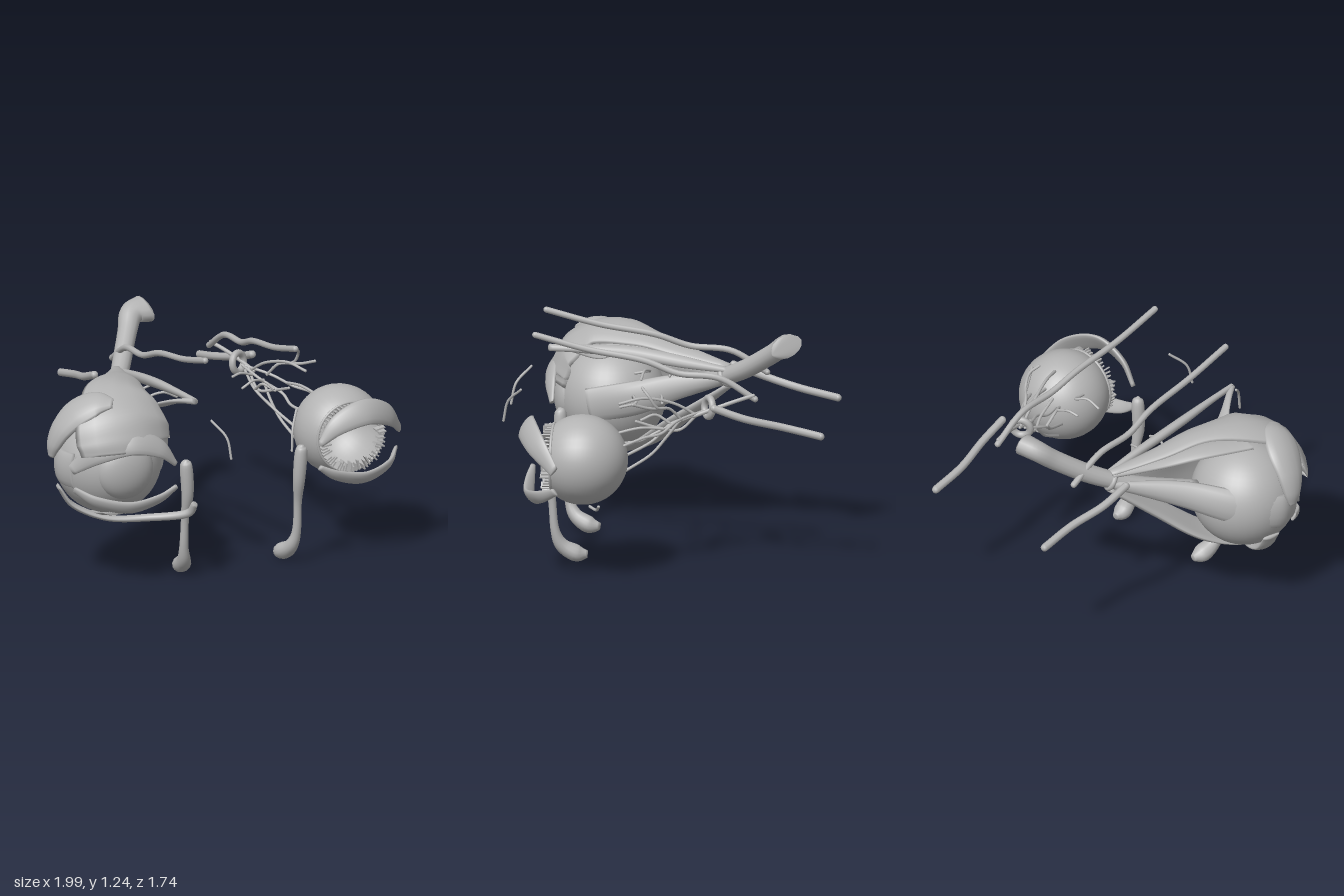
import * as THREE from 'three';

const V = (x, y, z) => new THREE.Vector3(x, y, z);
const tissue = new THREE.MeshStandardMaterial({ color: 0xb3b3b3 });
tissue.name = 'grey tissue';
tissue.side = THREE.DoubleSide;

const APEX = V(-0.29, 0.89, -0.3);        // where the muscles meet
const EYE = V(-0.64, 0.67, 0.38);         // full eye, right side
const OPEN_EYE = V(0.69, 0.67, 0.385);    // cut-open eye, left side
const mirror = (pts, sum = 0.08) => pts.map(([x, ...rest]) => [sum - x, ...rest]);

// Elliptical strap through [x, y, z, halfWidth, halfThickness], wrapped round the line a-b
function strapGeometry(pts, a, b, steps = 40, sides = 14) {
  const path = new THREE.CatmullRomCurve3(pts.map(p => V(p[0], p[1], p[2])), false, 'catmullrom', 0.5);
  const size = new THREE.CatmullRomCurve3(pts.map(p => V(p[3], p[4] ?? p[3], 0)), false, 'catmullrom', 0.5);
  const axis = new THREE.Line3(a, b), near = V(0, 0, 0);
  const pos = [], idx = [];
  for (let i = 0; i <= steps; i++) {
    const u = i / steps, c = path.getPoint(u), t = path.getTangent(u), s = size.getPoint(u);
    const w = Math.max(s.x, 0.003), th = Math.max(s.y, 0.003);
    axis.closestPointToPoint(c, true, near);
    const n = c.clone().sub(near);
    const R = Math.max(n.length(), w * 0.8);
    n.addScaledVector(t, -n.dot(t)).normalize();
    const side = t.clone().cross(n);
    for (let j = 0; j < sides; j++) {
      const q = j / sides * Math.PI * 2;
      const bend = Math.cos(q) * w / R, r = R + th * Math.sin(q);
      const p = c.clone().addScaledVector(side, r * Math.sin(bend)).addScaledVector(n, r * Math.cos(bend) - R);
      pos.push(p.x, p.y, p.z);
    }
  }
  for (let i = 0; i < steps; i++) for (let j = 0; j < sides; j++) {
    const k = (j + 1) % sides, A = i * sides + j, B = i * sides + k;
    idx.push(A, A + sides, B, B, A + sides, B + sides);
  }
  const last = steps * sides;
  for (let j = 1; j < sides - 1; j++) idx.push(0, j, j + 1, last, last + j + 1, last + j);
  const g = new THREE.BufferGeometry();
  g.setAttribute('position', new THREE.Float32BufferAttribute(pos, 3));
  g.setIndex(idx);
  g.computeVertexNormals();
  return g;
}

export function createModel() {
  const model = new THREE.Group();
  const add = (name, geometry, parent = model) => {
    const m = new THREE.Mesh(geometry, tissue);
    m.name = name;
    parent.add(m);
    return m;
  };
  const strap = (name, pts, a = APEX, b = EYE) => add(name, strapGeometry(pts, a, b));
  // Round vessel with domed ends
  const vessel = (name, pts, r) => {
    const g = new THREE.Group();
    g.name = name;
    const v = pts.map(p => V(...p));
    add(name + 'Tube', new THREE.TubeGeometry(new THREE.CatmullRomCurve3(v), pts.length * 7, r, 8), g);
    for (const end of [v[0], v[v.length - 1]])
      add(name + 'End', new THREE.SphereGeometry(r, 8, 6), g).position.copy(end);
    model.add(g);
  };

  // Full eye with bulging cornea
  add('eyeball', new THREE.SphereGeometry(0.285, 40, 28)).position.copy(EYE);
  const cornea = add('cornea', new THREE.SphereGeometry(0.16, 32, 20));
  cornea.position.set(-0.64, 0.67, 0.6);
  cornea.scale.z = 0.55;

  // Optic nerve, flattened at its cut end
  strap('opticNerve', [[-0.52, 0.74, 0.14, 0.05], [-0.36, 0.84, -0.16, 0.045], [-0.24, 0.93, -0.35, 0.05],
    [-0.13, 1.05, -0.52, 0.052], [-0.07, 1.12, -0.6, 0.065, 0.055], [0.015, 1.135, -0.62, 0.088, 0.058]],
    V(0, 0, -1.2), V(0, 0, -1.19));
  const ring = add('tendonRing', new THREE.TorusGeometry(0.048, 0.014, 8, 24));
  ring.position.set(-0.29, 0.885, -0.27);
  ring.lookAt(-0.12, 1.05, -0.52);

  // Muscles from the apex to the eyeball
  strap('lidLifterMuscle', [[-0.3, 0.94, -0.28, 0.025, 0.012], [-0.4, 0.995, -0.02, 0.07, 0.015],
    [-0.48, 1.05, 0.2, 0.11, 0.015], [-0.59, 1.07, 0.42, 0.2, 0.015], [-0.63, 0.99, 0.605, 0.28, 0.015],
    [-0.64, 0.87, 0.685, 0.3, 0.012], [-0.64, 0.79, 0.705, 0.28, 0.01]]);
  strap('upperMuscle', [[-0.31, 0.93, -0.28, 0.02, 0.015], [-0.42, 0.94, 0.0, 0.065, 0.022],
    [-0.52, 0.97, 0.2, 0.09, 0.02], [-0.61, 0.97, 0.42, 0.11, 0.012]]);
  strap('outerMuscle', [[-0.33, 0.87, -0.28, 0.025, 0.015], [-0.57, 0.8, -0.02, 0.075, 0.025],
    [-0.8, 0.72, 0.18, 0.1, 0.02], [-0.925, 0.67, 0.36, 0.1, 0.014], [-0.9, 0.66, 0.5, 0.1, 0.008]]);
  strap('innerMuscle', [[-0.28, 0.87, -0.29, 0.025, 0.015], [-0.31, 0.81, 0.0, 0.07, 0.025],
    [-0.33, 0.73, 0.25, 0.095, 0.02], [-0.37, 0.68, 0.48, 0.09, 0.01]]);
  strap('lowerMuscle', [[-0.29, 0.84, -0.29, 0.025, 0.015], [-0.39, 0.62, -0.02, 0.075, 0.025],
    [-0.52, 0.45, 0.18, 0.11, 0.022], [-0.62, 0.38, 0.38, 0.11, 0.012], [-0.63, 0.41, 0.53, 0.1, 0.008]]);
  strap('upperObliqueMuscle', [[-0.27, 0.92, -0.28, 0.015, 0.015], [-0.28, 0.96, -0.02, 0.035, 0.025],
    [-0.29, 1.0, 0.25, 0.035, 0.025], [-0.275, 1.015, 0.5, 0.024, 0.018], [-0.265, 1.02, 0.67, 0.02, 0.016]]);
  strap('upperObliqueTendon', [[-0.265, 1.02, 0.67, 0.018], [-0.33, 1.0, 0.57, 0.022, 0.012],
    [-0.43, 0.94, 0.42, 0.045, 0.01], [-0.52, 0.95, 0.36, 0.05, 0.008]]);
  strap('lowerObliqueMuscle', [[-0.275, 0.46, 0.69, 0.018], [-0.3, 0.395, 0.64, 0.022], [-0.45, 0.36, 0.52, 0.028, 0.02],
    [-0.65, 0.35, 0.41, 0.04, 0.016], [-0.82, 0.42, 0.34, 0.05, 0.014], [-0.9, 0.53, 0.32, 0.05, 0.01]]);

  // Tear gland
  strap('tearGland', [[-0.69, 1.03, 0.56, 0.035, 0.015], [-0.77, 1.025, 0.51, 0.095, 0.03], [-0.86, 0.975, 0.46, 0.11, 0.035],
    [-0.93, 0.89, 0.43, 0.09, 0.035], [-0.965, 0.8, 0.41, 0.06, 0.03], [-0.975, 0.73, 0.4, 0.025, 0.015]]);

  // Cut-open eye with a rim and a fringe around the opening
  const openEye = new THREE.SphereGeometry(0.24, 36, 22, 0, Math.PI * 2, 0.914, Math.PI - 0.914);
  add('openEyeball', openEye.rotateX(Math.PI / 2)).position.copy(OPEN_EYE);
  add('openingRim', new THREE.TorusGeometry(0.188, 0.008, 8, 48)).position.set(0.69, 0.67, 0.538);
  const fringe = new THREE.Group();
  fringe.name = 'openingFringe';
  for (let i = 0; i < 56; i++) {
    const q = i / 56 * Math.PI * 2, long = 0.03 + 0.012 * (i % 3), deep = 0.024 + 0.008 * (i * 3 % 4);
    const tooth = add('fringeFold', new THREE.BoxGeometry(long, 0.008, deep), fringe);
    tooth.position.set(0.69 + Math.cos(q) * (0.185 - long / 2), 0.67 + Math.sin(q) * (0.185 - long / 2), 0.545 + deep / 2);
    tooth.rotation.z = q;
  }
  model.add(fringe);

  // Lids and tear ducts, mirrored
  const upperLid = [[0.458, 0.69, 0.67, 0.016, 0.012], [0.56, 0.795, 0.69, 0.055, 0.016], [0.72, 0.845, 0.685, 0.072, 0.018],
    [0.88, 0.79, 0.615, 0.065, 0.017], [0.985, 0.675, 0.505, 0.03, 0.012]];
  const lowerLid = [[0.453, 0.565, 0.675, 0.016, 0.012], [0.56, 0.508, 0.68, 0.036, 0.016], [0.72, 0.475, 0.665, 0.045, 0.018],
    [0.88, 0.508, 0.6, 0.04, 0.016], [0.967, 0.56, 0.5, 0.022, 0.01]];
  const duct = [[0.375, 0.685, 0.62, 0.008], [0.372, 0.65, 0.615, 0.033], [0.362, 0.5, 0.61, 0.033], [0.365, 0.36, 0.585, 0.022],
    [0.365, 0.2, 0.57, 0.024], [0.35, 0.11, 0.535, 0.037], [0.332, 0.062, 0.46, 0.05, 0.045], [0.325, 0.055, 0.4, 0.02]];
  for (const [side, place, eye] of [['left', p => p, OPEN_EYE], ['right', mirror, EYE]]) {
    strap(side + 'UpperLid', place(upperLid), eye, eye.clone().add(V(0, 0, 0.01)));
    strap(side + 'LowerLid', place(lowerLid), eye, eye.clone().add(V(0, 0, 0.01)));
    strap(side + 'TearDuct', place(duct), V(0, 0.3, -3), V(0, 0.31, -3));

    // Nerves and vessels that repeat on both sides
    vessel(side + 'UpperNerve', place([[0.31, 1.24, 0.68], [0.312, 1.17, 0.4], [0.32, 1.12, 0.1], [0.335, 1.06, -0.08],
      [0.335, 1.04, -0.3], [0.33, 0.93, -0.49]], 0.1), 0.017);
    vessel(side + 'RearNerve', place([[0.435, 0.765, -0.85], [0.44, 0.81, -0.65], [0.48, 0.86, -0.45], [0.49, 0.915, -0.29]], 0.07), 0.021);
    vessel(side + 'NoseBranch', place([[0.21, 0.74, 0.86], [0.225, 0.85, 0.835], [0.28, 0.93, 0.76]], 0.07), 0.007);
    vessel(side + 'FrontTwig', place([[0.23, 0.89, 0.17], [0.3, 0.92, 0.16], [0.37, 0.9, 0.14], [0.39, 0.88, 0.22]]), 0.007);
    vessel(side + 'RearTwig', place([[0.24, 0.91, 0.02], [0.29, 0.92, 0.01], [0.36, 0.9, 0.0]]), 0.007);
  }

  // Artery ring and its fine branches behind the open eye
  const loop = add('arteryRing', new THREE.TorusGeometry(0.05, 0.019, 10, 28));
  loop.position.set(0.39, 0.895, -0.25);
  loop.lookAt(0.89, 1.0, 0.6);
  const branches = [
    [[0.335, 0.95, -0.48], [0.37, 0.93, -0.4], [0.41, 0.9, -0.3], [0.45, 0.86, -0.18]],
    [[0.41, 0.88, -0.24], [0.46, 0.83, -0.1], [0.53, 0.78, 0.02], [0.54, 0.74, 0.1], [0.58, 0.73, 0.24]],
    [[0.42, 0.88, -0.22], [0.52, 0.85, -0.1], [0.61, 0.8, -0.02], [0.66, 0.79, 0.06], [0.72, 0.76, 0.16]],
    [[0.41, 0.86, -0.2], [0.4, 0.8, -0.05], [0.46, 0.72, 0.04], [0.53, 0.64, 0.2]],
    [[0.47, 0.83, -0.1], [0.48, 0.74, -0.03], [0.5, 0.66, 0.04], [0.54, 0.57, 0.18]],
    [[0.5, 0.85, -0.12], [0.54, 0.92, -0.06], [0.6, 0.94, 0.0], [0.61, 1.0, 0.04], [0.58, 1.04, 0.08]],
    [[0.58, 0.93, -0.02], [0.62, 0.94, 0.04], [0.67, 0.97, 0.12]],
    [[0.58, 0.82, -0.03], [0.61, 0.83, 0.08], [0.66, 0.8, 0.24]],
    [[0.44, 0.87, -0.18], [0.47, 0.93, -0.08], [0.53, 0.97, 0.08], [0.58, 0.95, 0.2]],
    [[0.43, 0.87, -0.2], [0.44, 0.78, -0.1], [0.49, 0.8, 0.0], [0.52, 0.84, 0.12]],
    [[0.4, 0.8, -0.05], [0.41, 0.85, 0.03], [0.45, 0.83, 0.1]],
    [[0.75, 0.43, 0.34], [0.8, 0.425, 0.3], [0.86, 0.46, 0.28]]
  ];
  branches.forEach((b, i) => vessel('arteryBranch' + (i + 1), b, i === 0 ? 0.011 : 0.008));

  return model;
}
